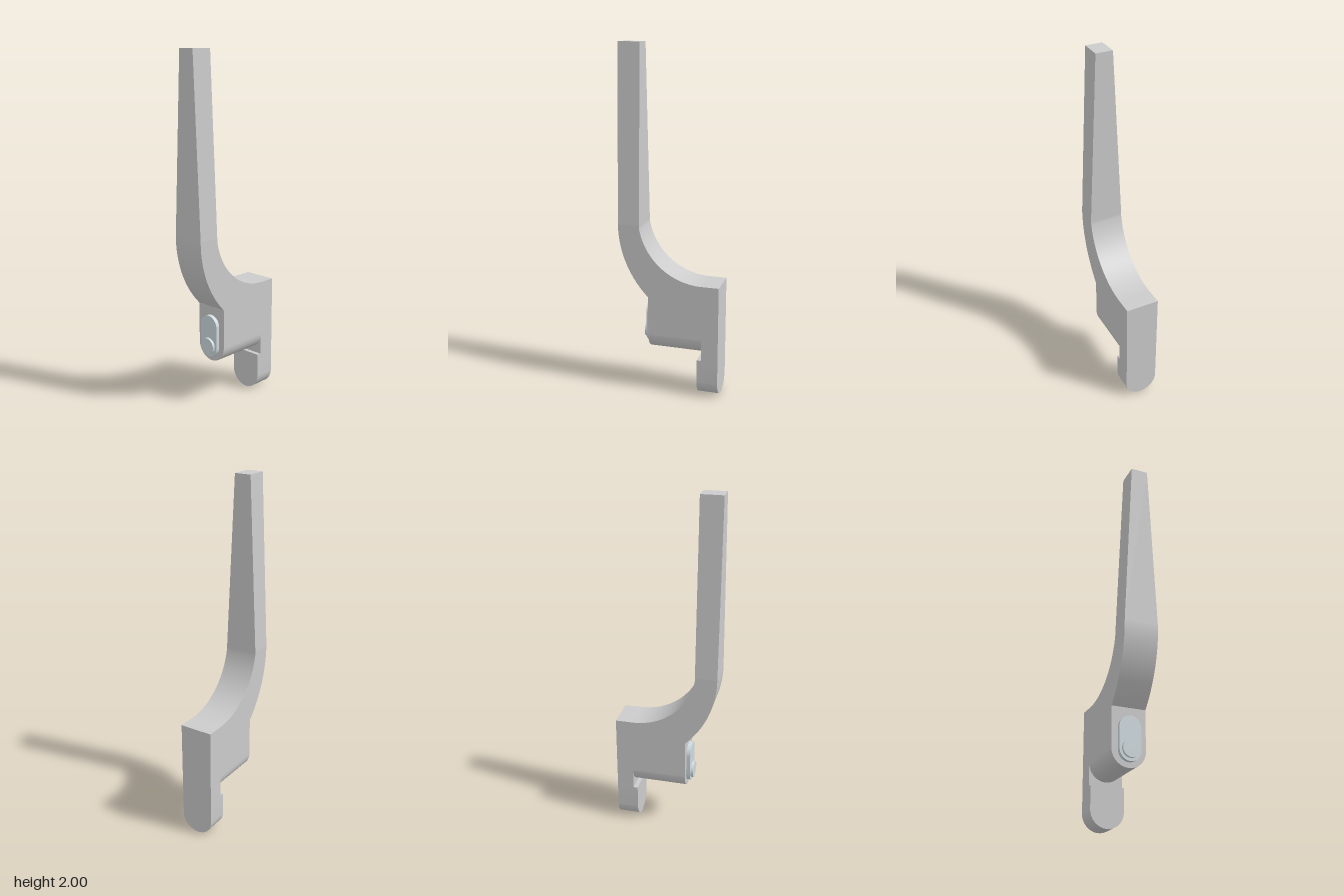
import * as THREE from 'three';
import { toCreasedNormals } from 'three/addons/utils/BufferGeometryUtils.js';

const W = 0.097;                      // half width of the handle
const BACK = -0.293, FRONT = 0.12;    // rear of the plate, front of the body
const grey = new THREE.MeshStandardMaterial({ color: 0xcccccc });
const steel = new THREE.MeshStandardMaterial({ color: 0xd0dbe0 });

export function createModel() {
  const group = new THREE.Group();

  const add = (name, geometry, material = grey) => {
    const mesh = new THREE.Mesh(toCreasedNormals(geometry, 0.5), material);
    mesh.name = name;
    group.add(mesh);
  };

  // Extrude a front-view outline between two z positions
  const slab = (shape, z0, z1) =>
    new THREE.ExtrudeGeometry(shape, { depth: z1 - z0, bevelEnabled: false, curveSegments: 24 })
      .translate(0, 0, z0);

  // Outline with a flat top and a half-round bottom
  const roundedFoot = (bottom, top) => {
    const s = new THREE.Shape();
    s.moveTo(-W, bottom + W);
    s.absarc(0, bottom + W, W, Math.PI, 2 * Math.PI, false);
    if (top > bottom + W) s.lineTo(W, top).lineTo(-W, top);
    s.closePath();
    return s;
  };

  // Body, back plate and curved neck: side profile (z, y) extruded across x
  const side = new THREE.Shape();
  side.moveTo(BACK, 0.227);
  side.lineTo(-0.195, 0.227);
  side.lineTo(-0.195, 0.352);
  side.lineTo(FRONT, 0.352);
  side.lineTo(FRONT, 0.58);
  side.absarc(-0.296, 1, 0.591, -Math.atan2(0.42, 0.416), 0, false);
  side.lineTo(0.17, 1);
  side.absarc(-0.195, 1.045, 0.37, -Math.atan2(0.06, 0.365), -Math.PI / 2, true);
  side.lineTo(BACK, 0.675);
  side.closePath();
  const body = new THREE.ExtrudeGeometry(side, { depth: 2 * W, bevelEnabled: false, curveSegments: 24 });
  body.translate(0, 0, -W).rotateY(-Math.PI / 2);
  add('body', body);

  // Half-round underside of the body and rounded foot of the back plate
  add('bodyUnderside', slab(roundedFoot(0.255, 0.352), -0.195, FRONT));
  add('backPlateFoot', slab(roundedFoot(0, 0.227), BACK, -0.17));

  // Tapered upper lever
  const lever = new THREE.Shape([[-W, 1], [W, 1], [0.049, 2], [-0.049, 2]]
    .map(([x, y]) => new THREE.Vector2(x, y)));
  add('lever', slab(lever, 0.17, 0.295));

  // Oval lock plate with a round button
  const oval = new THREE.Shape();
  oval.absarc(0, 0.469, 0.061, 0, Math.PI, false);
  oval.absarc(0, 0.346, 0.061, Math.PI, 2 * Math.PI, false);
  oval.closePath();
  add('lockPlate', slab(oval, FRONT, 0.143), steel);

  const button = new THREE.CylinderGeometry(0.048, 0.048, 0.016, 40);
  button.rotateX(Math.PI / 2).translate(0, 0.35, 0.15);
  add('lockButton', button, steel);

  return group;
}
